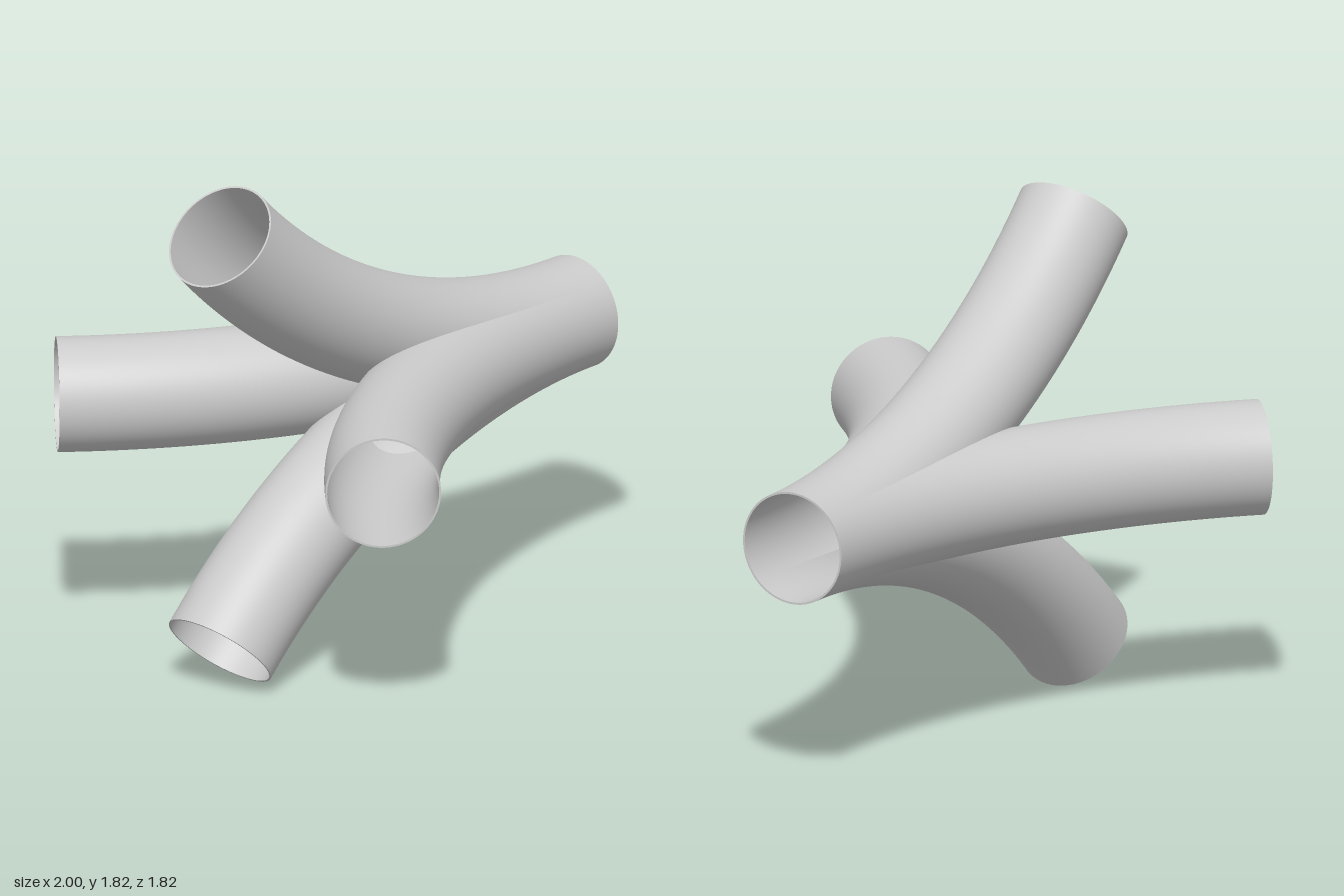
import * as THREE from 'three';

const BEND = 2.625;            // radius of each pipe's centre line
const OUTER = 0.203, INNER = 0.196;
const SWEEP = Math.PI / 4;
const CENTRE_Y = 0.9125;

const material = new THREE.MeshStandardMaterial({ color: 0xcccccc });

// Bend angles where the underside of a branch emerges and where it parts from its neighbours
function splitAngles(r) {
  const R2 = BEND * BEND, d = R2 - r * r;
  return {
    emerge: Math.acos(BEND / (BEND + r)),
    part: Math.acos((R2 - Math.sqrt(R2 * R2 - d * d)) / d),
  };
}

// Around-the-pipe angles where the branch meets the diagonal planes shared with its neighbours
function seamAngles(r, s) {
  const c = Math.cos(s), phi = Math.atan(c);
  const k = Math.asin(Math.min(1, BEND * (1 - c) / (r * Math.hypot(1, c))));
  return { top: phi + k, under: Math.min(Math.PI, phi + Math.PI - k) };
}

// Bend samples: dense towards the parting point, then even to the open end
function samples(from, part) {
  const list = [];
  for (let i = 0; i <= 48; i++) list.push(from + (part - from) * (1 - (1 - i / 48) ** 2));
  for (let i = 1; i <= 24; i++) list.push(part + (SWEEP - part) * i / 24);
  return list;
}

// Skin of a bent pipe between two seam angles that change along the bend
function skin(r, bends, range, segments, inward) {
  const pos = [], nor = [], idx = [], sign = inward ? -1 : 1, row = segments + 1;
  bends.forEach((s, i) => {
    const [t0, t1] = range(s);
    for (let j = 0; j <= segments; j++) {
      const t = t0 + (t1 - t0) * j / segments;
      const ct = Math.cos(t), st = Math.sin(t), d = BEND - r * ct;
      pos.push(1 - d * Math.sin(s), BEND - d * Math.cos(s), r * st);
      nor.push(sign * ct * Math.sin(s), sign * ct * Math.cos(s), sign * st);
      if (i && j) {
        const b = i * row + j, a = b - 1, q = b - row, p = q - 1;
        if (inward) idx.push(p, q, a, q, b, a);
        else idx.push(p, a, q, q, a, b);
      }
    }
  });
  const g = new THREE.BufferGeometry();
  g.setAttribute('position', new THREE.Float32BufferAttribute(pos, 3));
  g.setAttribute('normal', new THREE.Float32BufferAttribute(nor, 3));
  g.setIndex(idx);
  return g;
}

function wallGeometries(r, inward) {
  const { emerge, part } = splitAngles(r);
  const top = skin(r, samples(0, part), s => {
    const a = seamAngles(r, s).top;
    return [-a, a];
  }, 64, inward);
  const under = skin(r, samples(emerge, part), s => {
    const a = seamAngles(r, s).under;
    return [a, 2 * Math.PI - a];
  }, 24, inward);
  return [top, under];
}

export function createModel() {
  const model = new THREE.Group();
  model.name = 'fourWayPipeJunction';
  const add = (parent, name, geometry) => {
    const mesh = new THREE.Mesh(geometry, material);
    mesh.name = name;
    parent.add(mesh);
    return mesh;
  };

  const [outerTop, outerUnder] = wallGeometries(OUTER, false);
  const [boreTop, boreUnder] = wallGeometries(INNER, true);
  const endRim = new THREE.RingGeometry(INNER, OUTER, 88)
    .rotateY(-Math.PI / 2).rotateZ(-SWEEP)
    .translate(1 - BEND * Math.sin(SWEEP), BEND * (1 - Math.cos(SWEEP)), 0);

  // Four identical branches turned about the common axis
  ['upper', 'front', 'lower', 'back'].forEach((side, k) => {
    const branch = new THREE.Group();
    branch.name = side + 'Branch';
    branch.position.y = CENTRE_Y;
    branch.rotation.x = k * Math.PI / 2;
    add(branch, 'outerWall', outerTop);
    add(branch, 'outerWallUnderside', outerUnder);
    add(branch, 'bore', boreTop);
    add(branch, 'boreUnderside', boreUnder);
    add(branch, 'endRim', endRim);
    model.add(branch);
  });

  // Rim of the shared mouth
  const mouth = add(model, 'mouthRim', new THREE.RingGeometry(INNER, OUTER, 128).rotateY(Math.PI / 2));
  mouth.position.set(1, CENTRE_Y, 0);
  return model;
}
